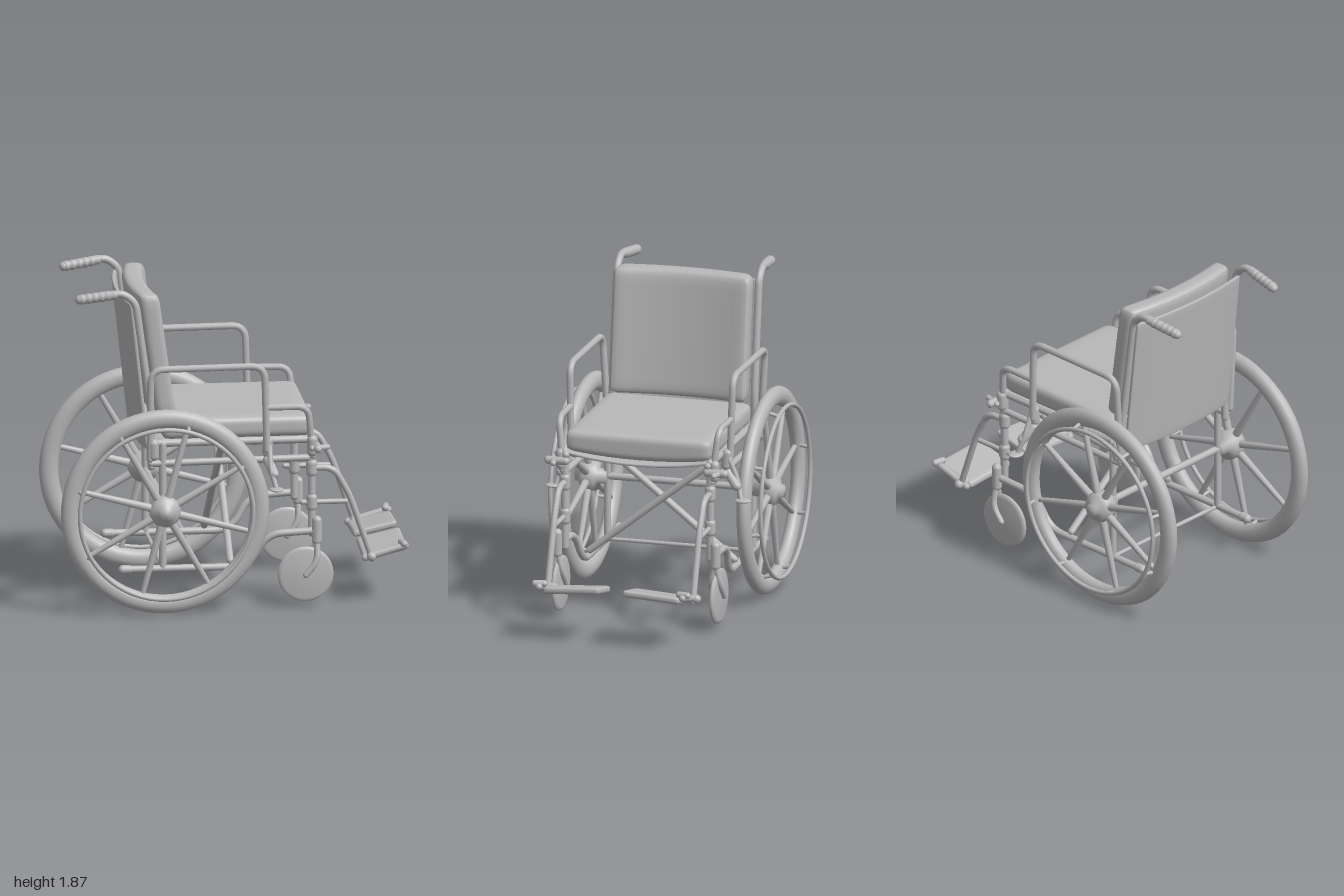
import * as THREE from 'three';
import { mergeVertices } from 'three/addons/utils/BufferGeometryUtils.js';

const grey = new THREE.MeshStandardMaterial({ color: 0xb8b8b8 });
grey.name = 'plain grey';
const V = (p) => new THREE.Vector3(...p);

function add(parent, name, geometry, pos = [0, 0, 0]) {
  const mesh = new THREE.Mesh(geometry, grey);
  mesh.name = name;
  mesh.position.set(...pos);
  parent.add(mesh);
  return mesh;
}

// Round tube through points, with rounded bends and rounded ends
function pipe(parent, name, pts, r, bend = 0.06) {
  const p = pts.map(V), path = new THREE.CurvePath();
  let from = p[0];
  for (let i = 1; i < p.length - 1; i++) {
    const a = p[i - 1].clone().sub(p[i]), b = p[i + 1].clone().sub(p[i]);
    const d = Math.min(bend, a.length() * 0.48, b.length() * 0.48);
    const s = p[i].clone().addScaledVector(a.normalize(), d);
    const e = p[i].clone().addScaledVector(b.normalize(), d);
    path.add(new THREE.LineCurve3(from, s));
    path.add(new THREE.QuadraticBezierCurve3(s, p[i], e));
    from = e;
  }
  const last = p[p.length - 1];
  path.add(new THREE.LineCurve3(from, last));
  const group = new THREE.Group();
  group.name = name;
  add(group, name + 'Tube', new THREE.TubeGeometry(path, p.length > 2 ? 16 * p.length : 2, r, 10));
  for (const end of [p[0], last]) add(group, name + 'End', new THREE.SphereGeometry(r, 10, 6), end.toArray());
  parent.add(group);
}

// Soft rounded slab, its vertices bent by a rule
function pad(parent, name, size, r, pos, warp) {
  let g = new THREE.BoxGeometry(2, 2, 2, 14, 14, 14);
  g.deleteAttribute('normal');
  g.deleteAttribute('uv');
  g = mergeVertices(g);
  const a = g.attributes.position, v = new THREE.Vector3(), c = new THREE.Vector3();
  const half = V(size).multiplyScalar(0.5);
  const inner = half.clone().subScalar(r), neg = inner.clone().negate();
  for (let i = 0; i < a.count; i++) {
    v.fromBufferAttribute(a, i);
    for (const k of ['x', 'y', 'z']) v[k] = Math.sign(v[k]) * (1 - (1 - Math.abs(v[k])) ** 1.7) * half[k];
    c.copy(v).clamp(neg, inner);
    v.sub(c).normalize().multiplyScalar(r).add(c);
    warp(v);
    a.setXYZ(i, v.x, v.y, v.z);
  }
  g.computeVertexNormals();
  return add(parent, name, g, pos);
}

const lathe = (pts) => new THREE.LatheGeometry(pts.map((p) => new THREE.Vector2(...p)), 32);

function driveWheel(root, s) {
  const w = new THREE.Group();
  w.name = s > 0 ? 'rightDriveWheel' : 'leftDriveWheel';
  w.position.set(-0.405, 0.595, 0);
  root.add(w);
  add(w, 'tyre', new THREE.TorusGeometry(0.54, 0.055, 14, 64), [0, 0, s * 0.537]).scale.z = 0.75;
  add(w, 'handRim', new THREE.TorusGeometry(0.495, 0.013, 8, 64), [0, 0, s * 0.622]);
  const hub = lathe([[0, -0.1], [0.04, -0.1], [0.045, -0.05], [0.085, -0.04], [0.09, 0.02], [0.075, 0.05],
    [0.04, 0.062], [0.036, 0.085], [0, 0.09]]);
  add(w, 'hub', hub, [0, 0, s * 0.53]).rotation.x = s * Math.PI / 2;
  for (let i = 0; i < 8; i++) {
    const t = (30 + i * 45) * Math.PI / 180, c = Math.cos(t), n = Math.sin(t);
    const spoke = add(w, 'spoke', new THREE.CylinderGeometry(0.015, 0.024, 0.45, 8), [c * 0.28, n * 0.28, s * 0.537]);
    spoke.rotation.z = t - Math.PI / 2;
    pipe(w, 'rimStud', [[c * 0.495, n * 0.495, s * 0.62], [c * 0.51, n * 0.51, s * 0.56]], 0.011);
  }
}

function caster(root, s) {
  const z = s * 0.468;
  const disc = lathe([[0, -0.026], [0.05, -0.024], [0.14, -0.017], [0.158, -0.009], [0.16, 0], [0.158, 0.009],
    [0.14, 0.017], [0.05, 0.024], [0, 0.026]]);
  add(root, 'casterWheel', disc, [0.405, 0.19, z]).rotation.x = Math.PI / 2;
  for (const k of [-1, 1]) {
    pipe(root, 'casterFork', [[0.47, 0.4, z], [0.47, 0.27, z + k * 0.03], [0.405, 0.19, z + k * 0.03]], 0.018);
  }
  pipe(root, 'casterStem', [[0.47, 0.5, z], [0.47, 0.385, z]], 0.029);
}

function sideFrame(root, s) {
  const tube = (name, pts, r, bend) => pipe(root, name, pts.map(([x, y, z]) => [x, y, s * z]), r, bend);
  // Rails and posts
  tube('lowerRail', [[-0.63, 0.235, 0.43], [0.08, 0.235, 0.43], [0.19, 0.425, 0.45], [0.47, 0.44, 0.46]], 0.021, 0.09);
  tube('railCap', [[-0.635, 0.235, 0.43], [-0.6, 0.235, 0.43]], 0.026);
  tube('middleRail', [[-0.47, 0.85, 0.43], [0.44, 0.86, 0.43]], 0.02);
  tube('seatRail', [[-0.46, 0.965, 0.42], [0.46, 0.965, 0.42]], 0.022);
  tube('rearPost', [[-0.405, 0.235, 0.43], [-0.405, 0.96, 0.43]], 0.021);
  tube('frontPost', [[0.445, 0.42, 0.43], [0.445, 0.98, 0.43]], 0.023);
  // Back post, push handle and grip
  tube('backPost', [[-0.47, 0.83, 0.42], [-0.47, 1.15, 0.42], [-0.56, 1.79, 0.42], [-0.63, 1.845, 0.42],
    [-0.7, 1.84, 0.418]], 0.022, 0.05);
  tube('grip', [[-0.875, 1.81, 0.395], [-0.68, 1.838, 0.418]], 0.027);
  for (let i = 0; i < 5; i++) {
    const x = -0.86 + i * 0.036;
    add(root, 'gripRing', new THREE.SphereGeometry(0.03, 10, 8), [x, 1.812 + i * 0.005, s * (0.397 + i * 0.004)]);
  }
  // Armrest with front step
  tube('armrest', [[-0.48, 0.88, 0.45], [-0.48, 1.41, 0.482], [0.17, 1.415, 0.482], [0.185, 0.92, 0.47]], 0.02, 0.08);
  tube('armrestStep', [[0.185, 1.17, 0.475], [0.42, 1.17, 0.472], [0.45, 0.87, 0.44]], 0.019, 0.07);
  for (const x of [-0.46, 0.19, 0.445]) {
    tube('armSocket', [[x, 0.9, 0.45], [x, 0.97, 0.455]], 0.03);
  }
  tube('postClamp', [[0.47, 0.93, 0.42], [0.47, 0.93, 0.52]], 0.024);
  tube('clampKnob', [[0.44, 0.93, 0.5], [0.53, 0.93, 0.475]], 0.017);
  // Wheel brake
  tube('brakeLever', [[0.2, 0.94, 0.47], [0.2, 0.82, 0.52], [0.23, 0.71, 0.55]], 0.015, 0.04);
  tube('brakeBody', [[0.19, 0.86, 0.46], [0.22, 0.79, 0.52]], 0.028);
  add(root, 'brakePad', new THREE.SphereGeometry(0.045, 16, 10), [0.23, 0.71, s * 0.56]).scale.set(0.9, 0.25, 1.1);
  // Leg rest
  tube('legTube', [[0.44, 0.8, 0.43], [0.57, 0.8, 0.43], [0.66, 0.64, 0.43], [0.79, 0.26, 0.43]], 0.019, 0.07);
  tube('legStrut', [[0.39, 0.6, 0.43], [0.64, 0.6, 0.43]], 0.015);
  for (const y of [0.6, 0.8]) tube('legHinge', [[0.445, y - 0.025, 0.43], [0.445, y + 0.025, 0.43]], 0.032);
  tube('footHinge', [[0.75, 0.265, 0.425], [0.98, 0.33, 0.425]], 0.021);
  tube('footHingePin', [[0.96, 0.345, 0.4], [0.97, 0.345, 0.45]], 0.02);
  tube('footClamp', [[0.785, 0.275, 0.395], [0.785, 0.275, 0.45]], 0.027);
  pad(root, 'footPlate', [0.25, 0.042, 0.33], 0.018, [0.865, 0.295, s * 0.235], (v) => {
    v.y += v.x * 0.22 - s * v.z * 0.06;
  });
}

export function createModel() {
  const root = new THREE.Group();
  root.name = 'wheelchair';
  for (const s of [1, -1]) {
    driveWheel(root, s);
    caster(root, s);
    sideFrame(root, s);
    // Folding cross brace
    const x = s > 0 ? -0.07 : -0.02;
    pipe(root, 'crossBrace', [[x, 0.93, s * 0.41], [x, 0.27, -s * 0.42]], 0.021);
  }
  pipe(root, 'axleBar', [[-0.405, 0.6, -0.5], [-0.405, 0.6, 0.5]], 0.021);
  pipe(root, 'lowerCrossBar', [[-0.4, 0.23, -0.43], [-0.4, 0.23, 0.43]], 0.012);

  // Upholstery
  const bow = (z, w) => 1 - (z / w) ** 2;
  pad(root, 'seatCushion', [0.86, 0.125, 0.86], 0.045, [0.025, 1.045, 0], (v) => {
    if (v.y < 0) v.y -= 0.03 * bow(v.z, 0.43);
  });
  pad(root, 'seatSling', [0.9, 0.02, 0.86], 0.009, [0.01, 0.98, 0], (v) => {
    v.y -= 0.045 * bow(v.z, 0.43);
  });
  pad(root, 'backCushion', [0.125, 0.72, 0.81], 0.045, [-0.425, 1.47, 0], (v) => {
    v.x -= v.y * 0.14 + 0.045 * bow(v.z, 0.405);
  });
  pad(root, 'backSling', [0.025, 0.85, 0.84], 0.011, [-0.535, 1.355, 0], (v) => {
    v.x -= v.y * 0.11 + 0.04 * bow(v.z, 0.42);
  });
  return root;
}
